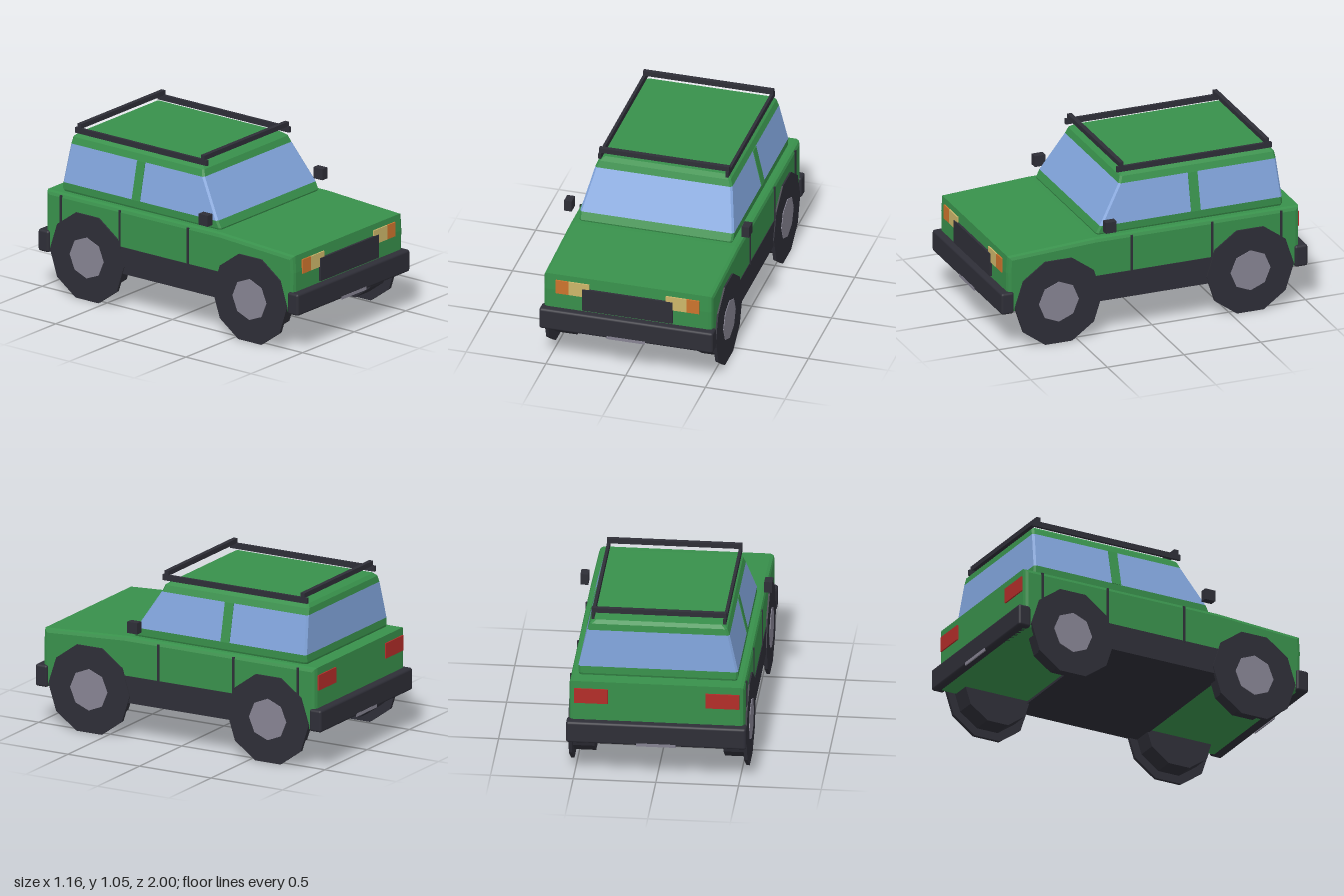
import * as THREE from 'three';
import { RoundedBoxGeometry } from 'three/addons/geometries/RoundedBoxGeometry.js';

const paint = (name, color) => {
  const m = new THREE.MeshStandardMaterial({ color });
  m.name = name;
  return m;
};

// Separate the faces so every facet is shaded flat
function faceted(geometry) {
  const g = geometry.index ? geometry.toNonIndexed() : geometry;
  g.computeVertexNormals();
  return g;
}

// Rectangular cross-section with chamfered corners at one height
function ring([y, halfWidth, front, back]) {
  const c = 0.012, w = halfWidth;
  return [
    [-w + c, front], [w - c, front], [w, front - c], [w, back + c],
    [w - c, back], [-w + c, back], [-w, back + c], [-w, front - c],
  ].map(([x, z]) => [x, y, z]);
}

// Skin between stacked cross-sections, optionally closed on top
function loft(levels, cap) {
  const rings = levels.map(ring);
  const p = [];
  for (let k = 0; k < rings.length - 1; k++) {
    for (let i = 0; i < 8; i++) {
      const j = (i + 1) % 8;
      const a = rings[k][i], b = rings[k][j], c = rings[k + 1][j], d = rings[k + 1][i];
      p.push(...a, ...b, ...c, ...a, ...c, ...d);
    }
  }
  if (cap) {
    const top = rings[rings.length - 1];
    for (let i = 1; i < 7; i++) p.push(...top[0], ...top[i], ...top[i + 1]);
  }
  const g = new THREE.BufferGeometry();
  g.setAttribute('position', new THREE.Float32BufferAttribute(p, 3));
  g.computeVertexNormals();
  return g;
}

export function createModel() {
  const green = paint('green paint', 0x38904b);
  const glass = paint('window blue', 0x80a3da);
  const dark = paint('dark trim', 0x2e2e37);
  const grey = paint('hub grey', 0x868392);
  const yellow = paint('headlight yellow', 0xcdb669);
  const orange = paint('indicator orange', 0xcc742d);
  const red = paint('tail light red', 0xb32d29);

  const model = new THREE.Group();
  model.name = 'offRoadCar';
  const add = (name, geometry, material, x = 0, y = 0, z = 0) => {
    const mesh = new THREE.Mesh(geometry, material);
    mesh.name = name;
    mesh.position.set(x, y, z);
    model.add(mesh);
    return mesh;
  };
  // Box given by its limits on each axis
  const box = (name, material, [x0, x1], [y0, y1], [z0, z1]) =>
    add(name, new THREE.BoxGeometry(x1 - x0, y1 - y0, z1 - z0), material,
      (x0 + x1) / 2, (y0 + y1) / 2, (z0 + z1) / 2);
  const mirrored = (s, a, b) => (s > 0 ? [a, b] : [-b, -a]);

  // Lower body: side profile extruded across the car with bevelled edges
  const bevel = 0.025, halfBody = 0.53;
  const profile = new THREE.Shape([
    [-0.95, 0.24], [0.95, 0.24], [0.955, 0.5], [0.948, 0.605], [0.38, 0.636], [-0.95, 0.632],
  ].map(([z, y]) => new THREE.Vector2(z, y)));
  const bodyGeo = new THREE.ExtrudeGeometry(profile, {
    depth: 2 * (halfBody - bevel), bevelEnabled: true, bevelThickness: bevel,
    bevelSize: bevel, bevelOffset: -bevel, bevelSegments: 2,
  });
  bodyGeo.translate(0, 0, -(halfBody - bevel));
  bodyGeo.rotateY(-Math.PI / 2);
  add('body', bodyGeo, green);

  // Cabin: green waist, glass band and roof, as [y, half width, front z, back z]
  const sill = [0.69, 0.483, 0.33, -0.858];
  const eave = [0.925, 0.43, 0.185, -0.84];
  add('cabinBase', loft([[0.625, 0.472, 0.347, -0.853], [0.645, 0.481, 0.352, -0.86], sill]), green);
  add('windows', loft([sill, eave]), glass);
  add('roof', loft([eave, [0.965, 0.415, 0.17, -0.835], [0.985, 0.39, 0.14, -0.815]], true), green);

  // Underbody sill
  box('rockerPanel', dark, [-0.534, 0.534], [0.225, 0.393], [-0.42, 0.42]);

  // Bumpers and plates
  for (const s of [1, -1]) {
    const end = s > 0 ? 'front' : 'rear';
    add(end + 'Bumper', new RoundedBoxGeometry(1.09, 0.138, 0.083, 2, 0.015), dark, 0, 0.309, s * 0.9575);
    box(end + 'Plate', grey, [-0.12, 0.12], [0.236, 0.256], mirrored(s, 0.992, 1));
  }

  // Grille
  box('grille', dark, [-0.283, 0.283], [0.39, 0.535], [0.95, 0.968]);

  for (const s of [1, -1]) {
    const side = s > 0 ? 'left' : 'right';

    // Lights
    box(side + 'Headlight', yellow, mirrored(s, 0.24, 0.37), [0.48, 0.57], [0.953, 0.962]);
    box(side + 'Indicator', orange, mirrored(s, 0.37, 0.45), [0.48, 0.57], [0.953, 0.962]);
    box(side + 'TailLight', red, mirrored(s, 0.295, 0.5), [0.49, 0.585], [-0.959, -0.95]);

    // Door seams
    for (const z of [0.145, -0.38, -0.83]) {
      box(side + 'DoorSeam', dark, mirrored(s, 0.527, 0.536), [0.38, 0.622], [z - 0.007, z + 0.007]);
    }

    // Window pillar leaning with the glass
    const pillar = new THREE.BoxGeometry(0.008, 0.235, 0.062);
    const pos = pillar.attributes.position;
    for (let i = 0; i < pos.count; i++) {
      const t = (pos.getY(i) + 0.1175) / 0.235;
      pos.setX(i, pos.getX(i) + s * THREE.MathUtils.lerp(sill[1], eave[1], t));
    }
    add(side + 'Pillar', faceted(pillar), green, 0, 0.8075, -0.293);

    // Door mirror
    box(side + 'Mirror', dark, mirrored(s, 0.532, 0.58), [0.68, 0.75], [0.264, 0.334]);

    // Roof rack side rail
    box(side + 'RackRail', dark, mirrored(s, 0.39, 0.408), [0.99, 1.025], [-0.82, 0.19]);

    // Wheels: tyre, wide outer disc and octagonal hub
    for (const z of [0.625, -0.625]) {
      const end = z > 0 ? 'Front' : 'Rear';
      const disc = (part, r, sides, a, b, material) => {
        const g = new THREE.CylinderGeometry(r, r, b - a, sides).rotateZ(Math.PI / 2);
        add(side + end + part, faceted(g), material, s * (a + b) / 2, 0.27, z);
      };
      disc('Tyre', 0.231, 10, 0.39, 0.53, dark);
      disc('ArchDisc', 0.284, 10, 0.52, 0.54, dark);
      disc('Hub', 0.13, 8, 0.535, 0.544, grey);
    }
  }

  // Roof rack cross bars
  for (const z of [0.16, -0.788]) {
    box('rackCrossBar', dark, [-0.408, 0.408], [1.023, 1.053], [z - 0.014, z + 0.014]);
  }

  return model;
}
